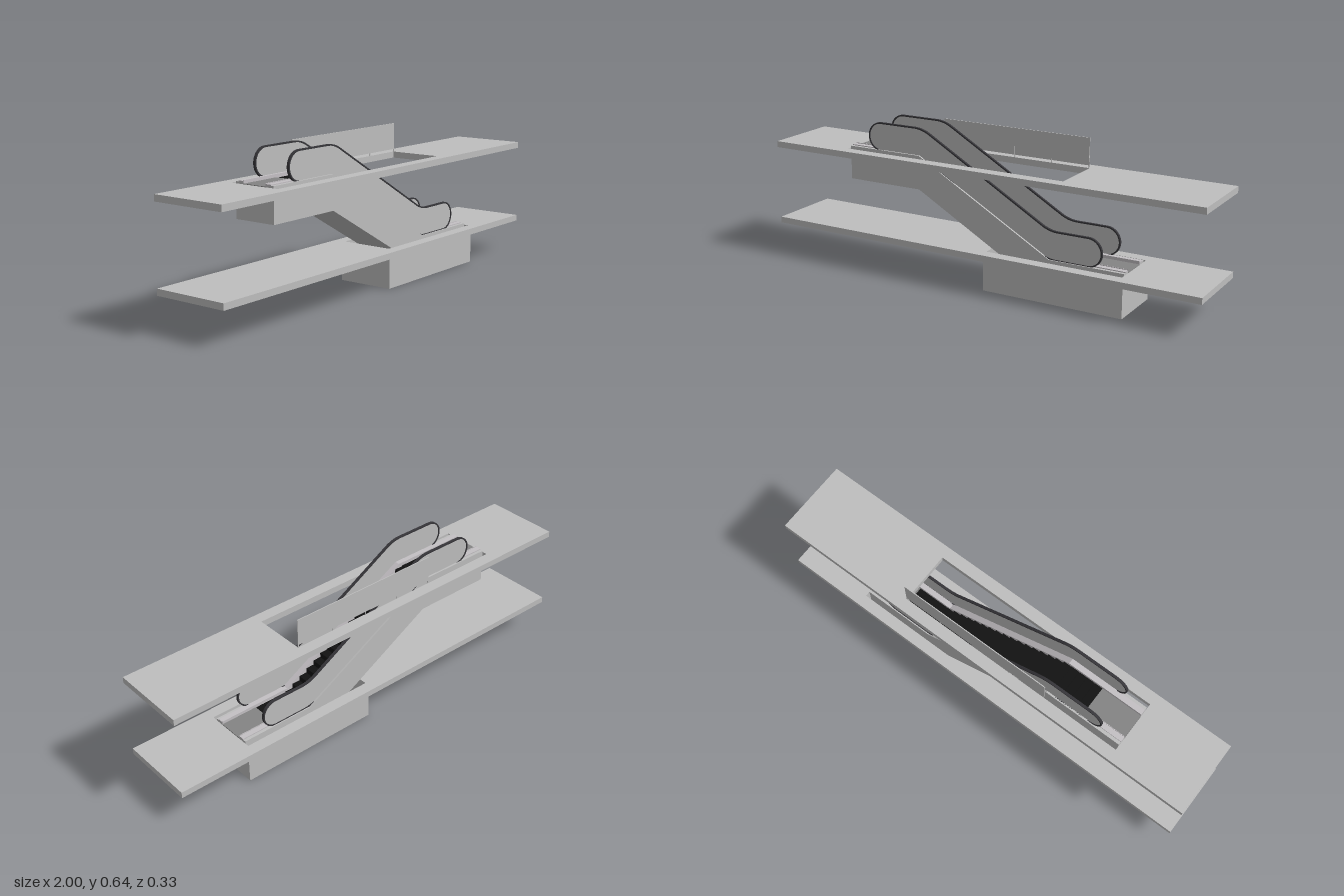
import * as THREE from 'three';

const mat = (name, color, extra = {}) => {
  const m = new THREE.MeshStandardMaterial({ color, ...extra });
  m.name = name;
  return m;
};

export function createModel() {
  const group = new THREE.Group();
  const concrete = mat('pale grey', 0xbebebe);
  const rubber = mat('handrail charcoal', 0x37363a);
  const black = mat('step black', 0x121212);
  const deckGrey = mat('deck light grey', 0xc4c0c4);
  const plateGrey = mat('landing grey', 0x848484);

  const add = (name, geo, material) => {
    const mesh = new THREE.Mesh(geo, material);
    mesh.name = name;
    group.add(mesh);
    return mesh;
  };
  // box given by its lower and upper corners
  const box = (name, x0, x1, y0, y1, z0, z1, material) =>
    add(name, new THREE.BoxGeometry(x1 - x0, y1 - y0, z1 - z0), material)
      .position.set((x0 + x1) / 2, (y0 + y1) / 2, (z0 + z1) / 2);
  // side outline extruded between two depths
  const slab = (name, shape, z0, z1, material) => {
    const geo = new THREE.ExtrudeGeometry(shape, { depth: z1 - z0, bevelEnabled: false });
    add(name, geo.translate(0, 0, z0), material);
  };
  const outline = (pts) => new THREE.Shape(pts.map(([x, y]) => new THREE.Vector2(x, y)));
  const rect = (x0, x1, z) => [[x0, -z], [x1, -z], [x1, z], [x0, z]];

  // Floors with openings
  const floor = (name, y0, y1, holeX0, holeX1) => {
    const shape = outline(rect(-1, 1, 0.167));
    shape.holes.push(outline(rect(holeX0, holeX1, 0.116)));
    const geo = new THREE.ExtrudeGeometry(shape, { depth: y1 - y0, bevelEnabled: false });
    add(name, geo.rotateX(-Math.PI / 2).translate(0, y0, 0), concrete);
  };
  floor('upperFloor', 0.491, 0.518, -0.652, 0.39);
  floor('lowerFloor', 0.142, 0.169, 0.042, 0.652);

  // Open pit below the lower floor
  box('pitBase', 0.032, 0.66, 0, 0.01, -0.126, 0.126, concrete);
  box('pitEnd', 0.032, 0.042, 0.01, 0.142, -0.126, 0.126, concrete);
  box('pitEnd', 0.652, 0.66, 0.01, 0.142, -0.126, 0.126, concrete);
  for (const s of [-1, 1]) {
    const a = 0.116 * s, b = 0.126 * s;
    box('pitWall', 0.042, 0.652, 0.01, 0.142, Math.min(a, b), Math.max(a, b), concrete);
  }

  // Truss outline between its underside and a chosen top level
  const trussShape = (top) => outline([
    [-0.65, 0.38], [-0.3, 0.38], [0.32, 0.03], [0.65, 0.03],
    [0.65, 0.18 + top], [0.32, 0.18 + top], [-0.3, 0.53 + top], [-0.65, 0.53 + top],
  ]);
  slab('trussCore', trussShape(-0.05), -0.0565, 0.0565, concrete);

  // Band that follows the incline, dy above the deck line
  const bandShape = (y0, y1) => outline([
    [-0.65, 0.53 + y0], [-0.3, 0.53 + y0], [0.32, 0.18 + y0], [0.65, 0.18 + y0],
    [0.65, 0.18 + y1], [0.32, 0.18 + y1], [-0.3, 0.53 + y1], [-0.65, 0.53 + y1],
  ]);

  // Closed loop around the balustrade, shrunk by an inset
  const loop = (inset) => {
    const r = 0.0625 - inset, k = inset * 0.27;
    const s = new THREE.Shape();
    s.moveTo(-0.495, 0.5825 - r);
    s.lineTo(-0.34, 0.5825 - r);
    s.quadraticCurveTo(-0.3 + k, 0.5825 - r, -0.265 + k, 0.5625 - r);
    s.lineTo(0.275 + k, 0.255 - r);
    s.quadraticCurveTo(0.31 + k, 0.235 - r, 0.35, 0.235 - r);
    s.lineTo(0.49, 0.235 - r);
    s.absarc(0.49, 0.235, r, -Math.PI / 2, Math.PI / 2, false);
    s.lineTo(0.36, 0.235 + r);
    s.quadraticCurveTo(0.32 - k, 0.235 + r, 0.285 - k, 0.255 + r);
    s.lineTo(-0.25 - k, 0.5625 + r);
    s.quadraticCurveTo(-0.285 - k, 0.5825 + r, -0.325, 0.5825 + r);
    s.lineTo(-0.495, 0.5825 + r);
    s.absarc(-0.495, 0.5825, r, Math.PI / 2, Math.PI * 1.5, false);
    return s;
  };
  const railShape = loop(0);
  railShape.holes.push(new THREE.Path(loop(0.006).getPoints(10)));

  // Both sides: truss flank, skirt, deck strip, balustrade and handrail
  for (const s of [-1, 1]) {
    const side = (name, shape, a, b, material) =>
      slab(name, shape, Math.min(a * s, b * s), Math.max(a * s, b * s), material);
    side('trussSide', trussShape(-0.004), 0.0565, 0.095, concrete);
    side('deckStrip', bandShape(-0.004, 0), 0.0575, 0.081, deckGrey);
    side('skirt', bandShape(-0.03, 0.003), 0.0555, 0.0575, deckGrey);
    side('balustradePanel', loop(0.005), 0.082, 0.087, concrete);
    side('handrail', railShape, 0.079, 0.09, rubber);
  }

  // Moving steps: flat at both ends, climbing in between
  const run = 0.038, count = 25;
  for (let i = 0; i < count; i++) {
    const x = -0.465 + i * run;
    const t = THREE.MathUtils.clamp((x + run / 2 + 0.3) / 0.62, 0, 1);
    const y = 0.518 - 0.35 * t;
    box('step', x, x + run - 0.001, y - 0.045, y, -0.0555, 0.0555, black);
  }

  // Landing plates beyond the steps
  box('upperLandingPlate', -0.65, -0.465, 0.475, 0.52, -0.0555, 0.0555, plateGrey);
  box('lowerLandingPlate', 0.485, 0.65, 0.125, 0.17, -0.0555, 0.0555, plateGrey);

  // Guard panels on short feet behind the floor opening
  for (let i = 0; i < 4; i++) {
    const x = -0.3 + i * 0.1725;
    box('guardPanel', x, x + 0.1715, 0.53, 0.645, -0.117, -0.113, concrete);
  }
  for (let i = 0; i < 5; i++) {
    const x = -0.3 + i * 0.1725;
    box('guardFoot', x - 0.003, x, 0.518, 0.645, -0.117, -0.1135, concrete);
  }
  return group;
}
